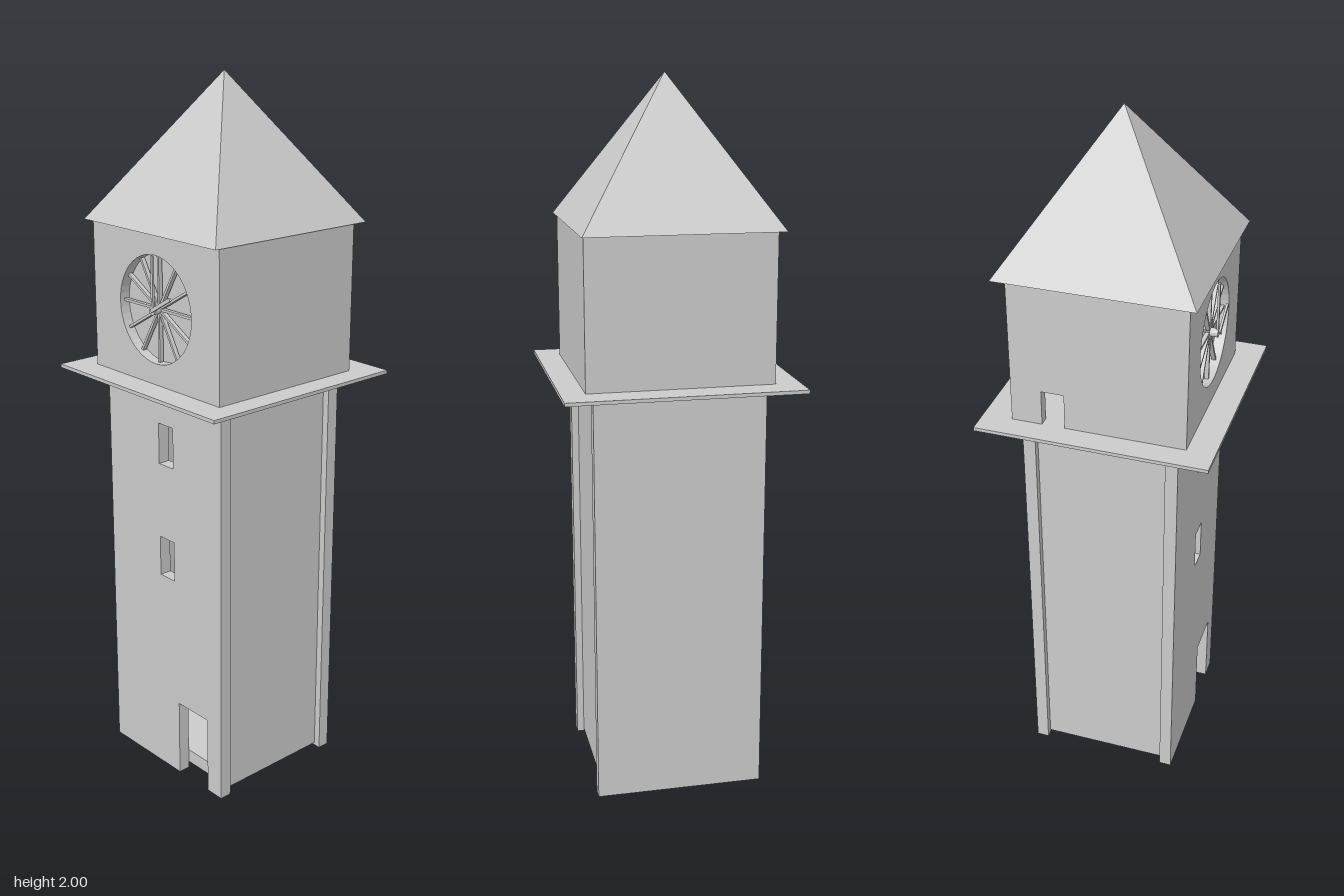
import * as THREE from 'three';

const material = new THREE.MeshStandardMaterial({ color: 0xcccccc, flatShading: true });

function add(parent, name, geometry, x = 0, y = 0, z = 0) {
  const mesh = new THREE.Mesh(geometry, material);
  mesh.name = name;
  mesh.position.set(x, y, z);
  parent.add(mesh);
  return mesh;
}

// Box given by its lower and upper corners
function box(parent, name, [x0, y0, z0], [x1, y1, z1]) {
  return add(parent, name, new THREE.BoxGeometry(x1 - x0, y1 - y0, z1 - z0),
    (x0 + x1) / 2, (y0 + y1) / 2, (z0 + z1) / 2);
}

function outline(target, points) {
  return target.setFromPoints(points.map(([u, v]) => new THREE.Vector2(u, v)));
}

function rectHole(u0, u1, v0, v1) {
  return outline(new THREE.Path(), [[u0, v0], [u0, v1], [u1, v1], [u1, v0], [u0, v0]]);
}

// Upright wall with openings; a doorway [u0, u1, top] cuts the bottom edge
function wallGeometry(u0, u1, v0, v1, thickness, { door, holes = [] } = {}) {
  const points = [[u0, v0]];
  if (door) points.push([door[0], v0], [door[0], door[2]], [door[1], door[2]], [door[1], v0]);
  points.push([u1, v0], [u1, v1], [u0, v1]);
  const shape = outline(new THREE.Shape(), points);
  shape.holes.push(...holes);
  return new THREE.ExtrudeGeometry(shape, { depth: thickness, bevelEnabled: false, curveSegments: 24 });
}

function buildShaft() {
  const g = new THREE.Group();
  g.name = 'shaft';
  const top = 1.188;

  // Side walls run past the front and back panels and form the corner strips
  box(g, 'plainSideWall', [0.182, 0, -0.24], [0.217, top, 0.235]);
  const slots = [[0.617, 0.735], [0.955, 1.073]].map(([a, b]) => rectHole(-0.022, 0.038, a, b));
  const doorWall = wallGeometry(-0.24, 0.235, 0, top, 0.035, { door: [0.052, 0.177, 0.23], holes: slots });
  doorWall.rotateY(-Math.PI / 2);
  add(g, 'doorSideWall', doorWall, -0.182);

  box(g, 'frontPanel', [-0.182, 0.008, 0.18], [0.182, top, 0.215]);
  box(g, 'backPanel', [-0.182, 0.008, -0.22], [0.182, top, -0.185]);
  box(g, 'floor', [-0.182, 0.02, -0.185], [0.182, 0.06, 0.18]);
  return g;
}

function buildBelfry() {
  const g = new THREE.Group();
  g.name = 'belfry';
  const y0 = 1.19, y1 = 1.605, t = 0.03;

  box(g, 'frontWall', [-0.213, y0, 0.228], [0.238, y1, 0.258]);
  box(g, 'rightWall', [0.208, y0, -0.227], [0.238, y1, 0.228]);
  add(g, 'backWall', wallGeometry(-0.213, 0.238, y0, y1, t, { door: [0.09, 0.153, 1.295] }), 0, 0, -0.257);

  // Clock wall with a round opening
  const round = new THREE.Path();
  round.absarc(0.003, 1.4, 0.147, 0, Math.PI * 2, true);
  const clockWall = wallGeometry(-0.257, 0.258, y0, y1, t, { holes: [round] });
  clockWall.rotateY(-Math.PI / 2);
  add(g, 'clockWall', clockWall, -0.213);
  return g;
}

function buildClock() {
  const g = new THREE.Group();
  g.name = 'clock';
  g.position.set(-0.213, 1.4, 0.003);

  const disc = new THREE.CylinderGeometry(0.15, 0.15, 0.008, 48);
  disc.rotateZ(Math.PI / 2);
  add(g, 'clockFace', disc, 0.004);

  // Radial bars for the twelve hours
  for (let i = 0; i < 12; i++) {
    const bar = new THREE.BoxGeometry(0.012, 0.145, 0.007);
    bar.translate(-0.012, 0.0725, 0);
    bar.rotateX(i * Math.PI / 6);
    add(g, 'hourBar', bar);
  }

  const hub = new THREE.CylinderGeometry(0.012, 0.012, 0.04, 16);
  hub.rotateZ(Math.PI / 2);
  add(g, 'hub', hub, -0.02);

  // Hands stand just proud of the wall
  const hand = (name, length, width, x, angle) => {
    const geometry = new THREE.BoxGeometry(0.006, length, width);
    geometry.translate(x, length / 2, 0);
    geometry.rotateX(angle);
    add(g, name, geometry);
  };
  hand('minuteHand', 0.147, 0.008, -0.037, 0);
  hand('hourHand', 0.09, 0.01, -0.042, Math.PI / 3);
  return g;
}

export function createModel() {
  const tower = new THREE.Group();
  tower.name = 'clockTower';

  tower.add(buildShaft());
  box(tower, 'platform', [-0.32, 1.184, -0.327], [0.32, 1.194, 0.325]);
  tower.add(buildBelfry());
  tower.add(buildClock());

  // Four-sided pyramid roof
  const roof = new THREE.ConeGeometry(0.269 * Math.SQRT2, 0.395, 4);
  roof.rotateY(Math.PI / 4);
  add(tower, 'roof', roof, 0.006, 1.605 + 0.395 / 2, -0.002);

  return tower;
}
